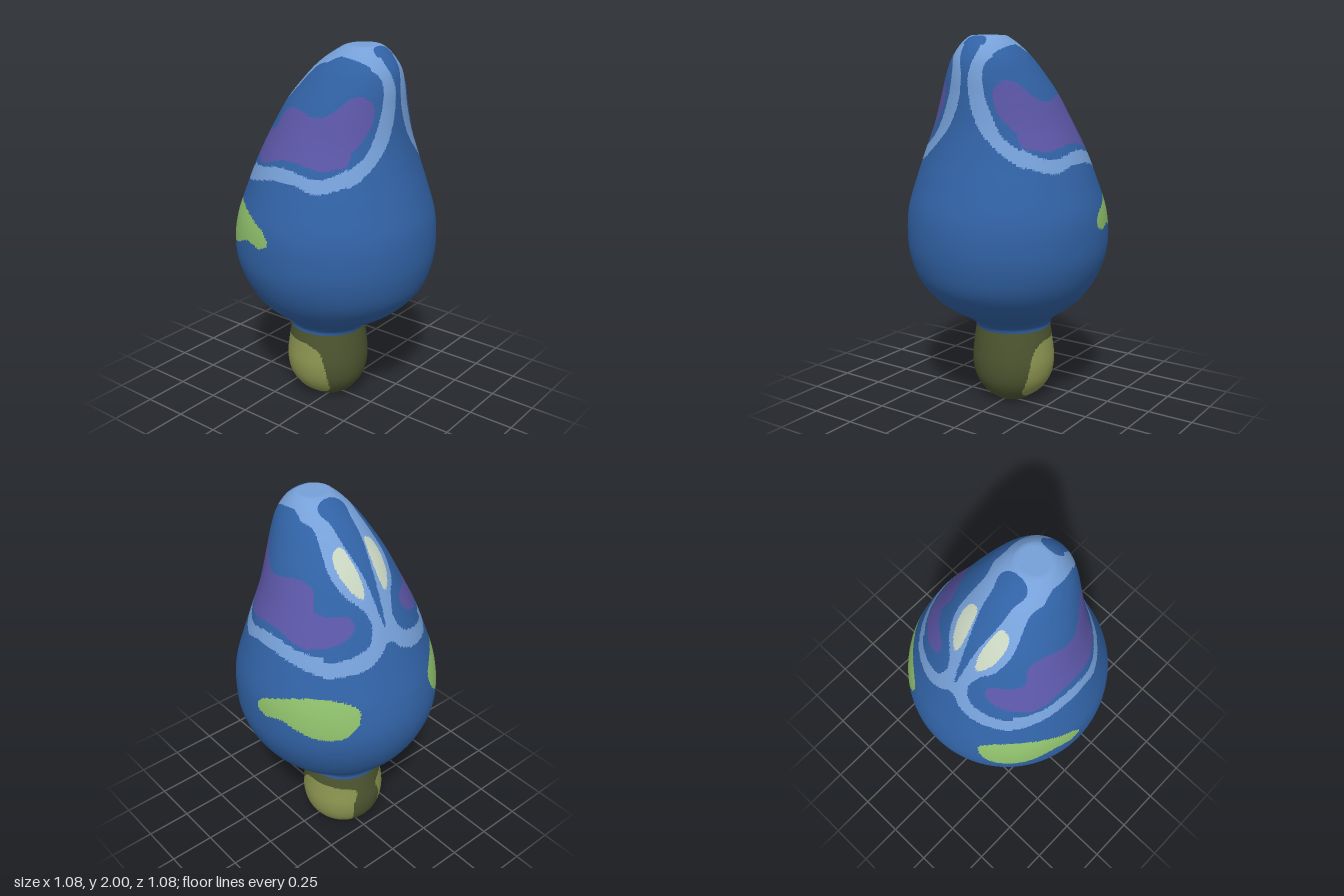
import * as THREE from 'three';

const material = (name, color) => Object.assign(new THREE.MeshStandardMaterial({ color }), { name });
const materials = {
  blue: material('deep blue', 0x3162a5),
  light: material('light blue', 0x76a0d8),
  purple: material('purple', 0x5b56a6),
  green: material('leaf green', 0x8fc06c),
  cream: material('pale cream', 0xc8d5c0),
  olive: material('dark olive', 0x4d5530),
  moss: material('light olive', 0x8d9551),
};

// Closed smooth outline from flat [u, v, u, v...] points; returns an inside test
function region(...c) {
  const pts = [];
  for (let i = 0; i < c.length; i += 2) pts.push(new THREE.Vector3(c[i], c[i + 1], 0));
  const p = new THREE.CatmullRomCurve3(pts, true).getPoints(pts.length * 5);
  const box = new THREE.Box3().setFromPoints(p);
  return (u, v) => {
    if (u < box.min.x || u > box.max.x || v < box.min.y || v > box.max.y) return false;
    let inside = false;
    for (let i = 0, j = p.length - 1; i < p.length; j = i++) {
      if ((p[i].y > v) !== (p[j].y > v) &&
        u < (p[j].x - p[i].x) * (v - p[i].y) / (p[j].y - p[i].y) + p[i].x) inside = !inside;
    }
    return inside;
  };
}

// Sections are [y, left x, right x, half depth]; paint() picks a colour for each face
function loft(name, sections, rows, sides, paint) {
  const a = new THREE.CatmullRomCurve3(sections.map(s => new THREE.Vector3(s[1], s[0], s[3])), false, 'catmullrom');
  const b = new THREE.CatmullRomCurve3(sections.map(s => new THREE.Vector3(s[2], s[0], 0)), false, 'catmullrom');
  const pos = [], index = [];
  for (let r = 0; r <= rows; r++) {
    const l = a.getPoint(r / rows), x = b.getPoint(r / rows).x;
    const y = THREE.MathUtils.clamp(l.y, 0, 2);
    for (let s = 0; s < sides; s++) {
      const t = s / sides * Math.PI * 2;
      pos.push((l.x + x) / 2 + (x - l.x) / 2 * Math.cos(t), y, l.z * Math.sin(t));
    }
  }
  for (let r = 0; r < rows; r++) {
    for (let s = 0; s < sides; s++) {
      const p = r * sides + s, q = r * sides + (s + 1) % sides;
      index.push(p, p + sides, q, q, p + sides, q + sides);
    }
  }
  const whole = new THREE.BufferGeometry();
  whole.setAttribute('position', new THREE.Float32BufferAttribute(pos, 3));
  whole.setIndex(index);
  whole.computeVertexNormals();
  const normals = whole.attributes.normal;

  // Sort the faces by colour; the pieces share vertices and normals
  const faces = {};
  const n = new THREE.Vector3();
  for (let i = 0; i < index.length; i += 3) {
    const f = index.slice(i, i + 3);
    const mid = k => (pos[f[0] * 3 + k] + pos[f[1] * 3 + k] + pos[f[2] * 3 + k]) / 3;
    n.fromBufferAttribute(normals, f[1]);
    const key = paint(mid(0), mid(1), Math.abs(mid(2)), n);
    (faces[key] ??= []).push(...f);
  }
  const group = new THREE.Group();
  group.name = name;
  for (const key in faces) {
    const g = new THREE.BufferGeometry();
    g.setAttribute('position', whole.attributes.position);
    g.setAttribute('normal', normals);
    g.setIndex(faces[key]);
    const mesh = new THREE.Mesh(g, materials[key]);
    mesh.name = `${name} ${materials[key].name}`;
    group.add(mesh);
  }
  return group;
}

// Markings laid out across x and y on the broad faces
const front = {
  green: region(-.465, 1.08, -.45, 1.13, -.39, 1.175, -.28, 1.185, -.15, 1.15, -.04, 1.1, -.016, 1.055,
    -.07, 1.02, -.175, 1.035, -.255, 1, -.36, .965, -.44, .98, -.465, 1.035),
  purple: region(-.31, 1.45, -.32, 1.5, -.28, 1.56, -.175, 1.575, -.12, 1.675, -.04, 1.7, .13, 1.675, .2, 1.715,
    .26, 1.775, .33, 1.78, .36, 1.71, .355, 1.565, .32, 1.475, .22, 1.44, 0, 1.465, -.2, 1.415),
  inner: region(-.38, 1.42, -.35, 1.385, -.2, 1.395, 0, 1.43, .2, 1.4, .3, 1.45, .36, 1.58, .37, 1.74,
    .355, 1.83, .3, 1.915, .14, 1.955, .06, 1.935, -.07, 1.857, -.25, 1.75),
  outer: region(-.6, 1.32, -.43, 1.32, -.3, 1.3, -.2, 1.325, -.05, 1.36, .08, 1.362, .2, 1.33, .3, 1.36,
    .38, 1.41, .5, 1.5, .6, 1.8, .5, 2.2, -.5, 2.2, -.6, 1.8),
};

// Markings across z and y on the steep right end
const end = {
  purple: region(.39, 1.45, .325, 1.475, .22, 1.565, .15, 1.675, .15, 1.755, .2, 1.78, .265, 1.755, .4, 1.65),
  inner: region(.6, 1.4, .41, 1.4, .3, 1.44, .2, 1.52, .14, 1.63, .1, 1.75, .1, 1.87, .17, 1.93, .4, 1.93, .6, 1.7),
  outer: region(.6, 1.33, .46, 1.335, .32, 1.36, .19, 1.45, .095, 1.545, .04, 1.66, .02, 1.8, .035, 1.87,
    .05, 1.93, .05, 2.1, .4, 2.2, .7, 1.8),
};

// Markings across x and z on the ridge
const top = {
  inner: region(-.375, .1, -.345, .07, -.3, .095, -.24, .15, -.155, .175, -.07, .157, 0, .14, .08, .157, .18, .163,
    .26, .14, .31, .1, .37, .03, .385, .05, .35, .185, .29, .315, .19, .39, .05, .43, -.1, .42,
    -.215, .38, -.325, .27, -.37, .17),
  outer: region(-.395, -.05, -.4, .015, -.415, .07, -.41, .157, -.36, .27, -.27, .37, -.13, .44, .05, .45,
    .19, .42, .31, .33, .38, .19, .42, 0, .4, -.1),
  wedge: region(-.37, 0, -.24, .03, -.11, .06, -.03, .065, .03, .08, .06, .065, .075, 0, .05, -.05, -.2, -.05),
  spot: region(.26, 0, .27, .05, .3, .065, .33, .04, .4, .02, .4, -.02, .28, -.05),
  cream: region(-.285, .07, -.24, .12, -.155, .14, -.116, .12, -.12, .075, -.17, .058, -.26, .052),
};

function paintBody(x, y, z, n) {
  if (front.green(x, y)) return 'green';
  if (y < 1.2) return 'blue';
  const nz = Math.abs(n.z);
  if (n.x > nz && n.x > n.y) {
    if (end.purple(z, y)) return 'purple';
    return end.outer(z, y) && !end.inner(z, y) ? 'light' : 'blue';
  }
  if (front.purple(x, y) && z > .15) return 'purple';
  if (nz > Math.abs(n.x) && nz > n.y) {
    return front.outer(x, y) && !front.inner(x, y) ? 'light' : 'blue';
  }
  if (top.cream(x, z)) return 'cream';
  if (top.wedge(x, z) || top.spot(x, z) || top.inner(x, z)) return 'blue';
  return top.outer(x, z) ? 'light' : 'blue';
}

// Light panels on both broad faces of the stem, and its foot
const panel = region(-.255, .34, -.2, .357, -.02, .357, .045, .31, .075, .17, .06, .07, -.02, .03,
  -.175, .04, -.245, .11, -.265, .23);
const paintStem = (x, y) => (y < .004 || panel(x, y) ? 'moss' : 'olive');

export function createModel() {
  const model = new THREE.Group();
  model.name = 'bulb';
  model.add(loft('body', [
    [.42, -.262, .15, .205], [.45, -.268, .165, .21], [.49, -.295, .215, .245], [.55, -.355, .32, .33],
    [.62, -.42, .41, .41], [.72, -.485, .49, .48], [.84, -.53, .53, .527], [.96, -.542, .542, .54],
    [1.1, -.515, .53, .53], [1.25, -.46, .487, .485], [1.4, -.4, .44, .43], [1.55, -.33, .405, .36],
    [1.7, -.245, .39, .295], [1.8, -.165, .385, .245], [1.88, -.09, .37, .2], [1.94, -.015, .335, .155],
    [1.98, .05, .295, .115], [2, .1, .25, .08], [2, .175, .175, 0],
  ], 216, 280, paintBody));
  model.add(loft('stem', [
    [0, -.06, -.06, 0], [0, -.12, .03, .08], [.02, -.16, .07, .11], [.06, -.225, .115, .165],
    [.13, -.27, .155, .21], [.22, -.285, .17, .228], [.32, -.275, .165, .22], [.43, -.26, .15, .205],
  ], 70, 120, paintStem));
  return model;
}
